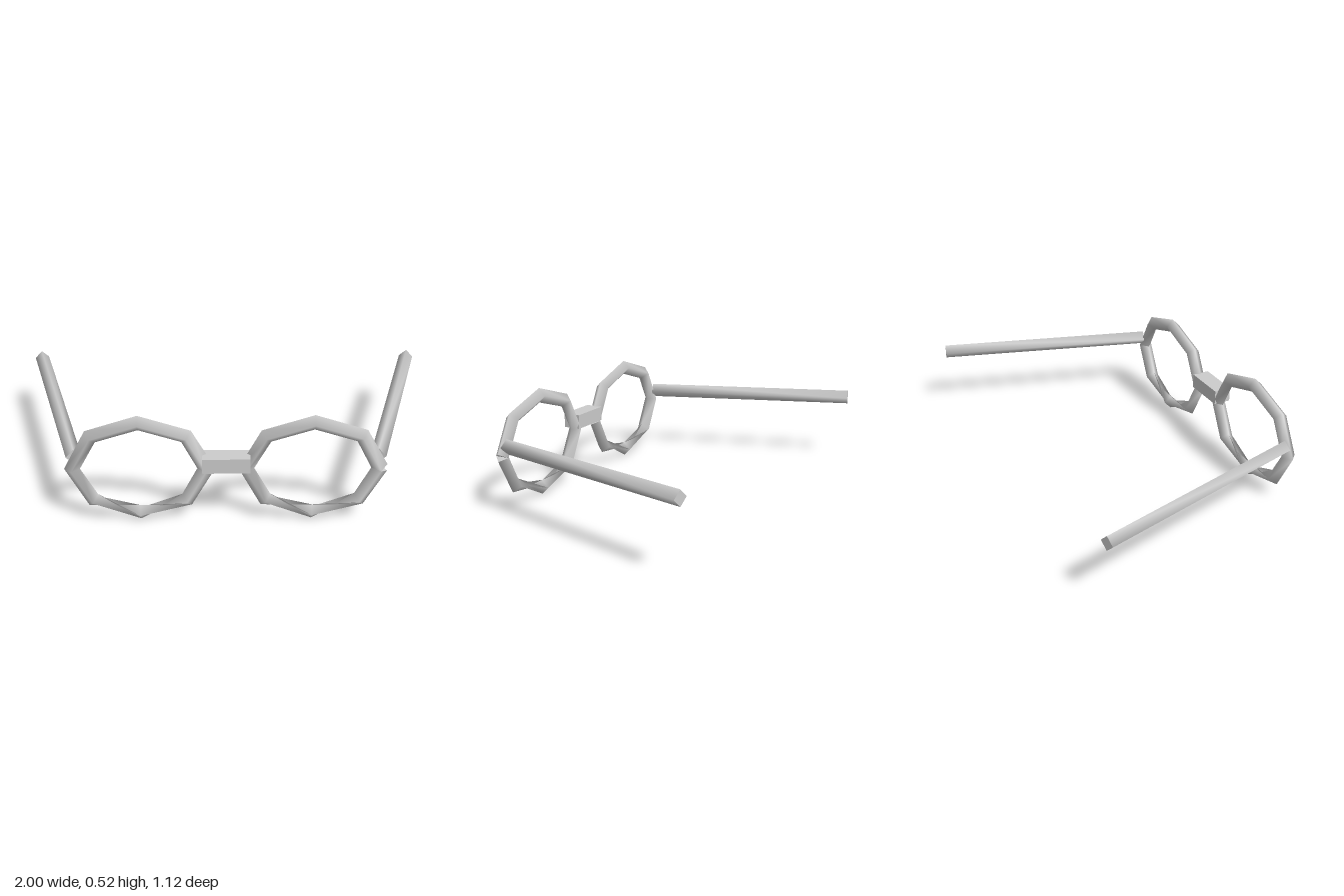
import * as THREE from 'three';

// Double-sided because the rims fold through themselves where they twist
const frameGrey = new THREE.MeshStandardMaterial({ color: 0xcccccc, side: THREE.DoubleSide });
frameGrey.name = 'frame grey';

const SIDES = 4, RADIUS = 0.035;

// Four-sided bar swept along straight segments, with an optional twist per point and closed ends.
function sweepBar(points, sideOf, twist = []) {
  const pos = [], index = [], last = points.length - 1;
  points.forEach((p, i) => {
    const t = points[Math.min(i + 1, last)].clone().sub(points[Math.max(i - 1, 0)]).normalize();
    const v = sideOf(t).normalize();
    const u = v.clone().cross(t).normalize();
    for (let k = 0; k < SIDES; k++) {
      const a = (k / SIDES) * Math.PI * 2 + (twist[i] || 0);
      const q = p.clone().addScaledVector(u, RADIUS * Math.cos(a)).addScaledVector(v, RADIUS * Math.sin(a));
      pos.push(q.x, q.y, q.z);
    }
  });
  for (let i = 0; i < last; i++) {
    for (let k = 0; k < SIDES; k++) {
      const a = i * SIDES + k, b = i * SIDES + (k + 1) % SIDES;
      index.push(a, b, b + SIDES, a, b + SIDES, a + SIDES);
    }
  }
  // End caps use their own corners so their edges stay sharp
  for (const end of [0, last]) {
    const base = pos.length / 3;
    pos.push(...pos.slice(end * SIDES * 3, (end + 1) * SIDES * 3));
    if (end) index.push(base, base + 1, base + 2, base, base + 2, base + 3);
    else index.push(base, base + 2, base + 1, base, base + 3, base + 2);
  }
  const geo = new THREE.BufferGeometry();
  geo.setAttribute('position', new THREE.Float32BufferAttribute(pos, 3));
  geo.setIndex(index);
  geo.computeVertexNormals();
  return geo;
}

function addPart(group, name, geo) {
  const mesh = new THREE.Mesh(geo, frameGrey);
  mesh.name = name;
  group.add(mesh);
  return mesh;
}

export function createModel() {
  const group = new THREE.Group();
  group.name = 'eyeglasses';

  // Eight-segment oval rim, open at its +x joint and twisted through the lowest corner
  const rimPoints = [];
  for (let i = 0; i <= 8; i++) {
    const a = (i * Math.PI) / 4;
    rimPoints.push(new THREE.Vector3(0.295 * Math.cos(a), 0.226 * Math.sin(a), 0));
  }
  const rimTwist = [0, 0, 0, 0, 0, 0, Math.PI / 2, Math.PI, Math.PI];
  const rimGeo = sweepBar(rimPoints, () => new THREE.Vector3(0, 0, -1), rimTwist);

  for (const [side, s] of [['left', 1], ['right', -1]]) {
    addPart(group, side + 'Rim', rimGeo).position.set(s * 0.383, 0.262, 0.509);

    // Straight temple arm splaying outward to the back
    const arm = [new THREE.Vector3(s * 0.67, 0.311, 0.488), new THREE.Vector3(s * 0.966, 0.323, -0.552)];
    addPart(group, side + 'Temple', sweepBar(arm, (t) => new THREE.Vector3(0, 1, 0).cross(t)));
  }

  // Nose bridge block
  addPart(group, 'bridge', new THREE.BoxGeometry(0.21, 0.07, 0.085)).position.set(0, 0.299, 0.518);

  return group;
}
